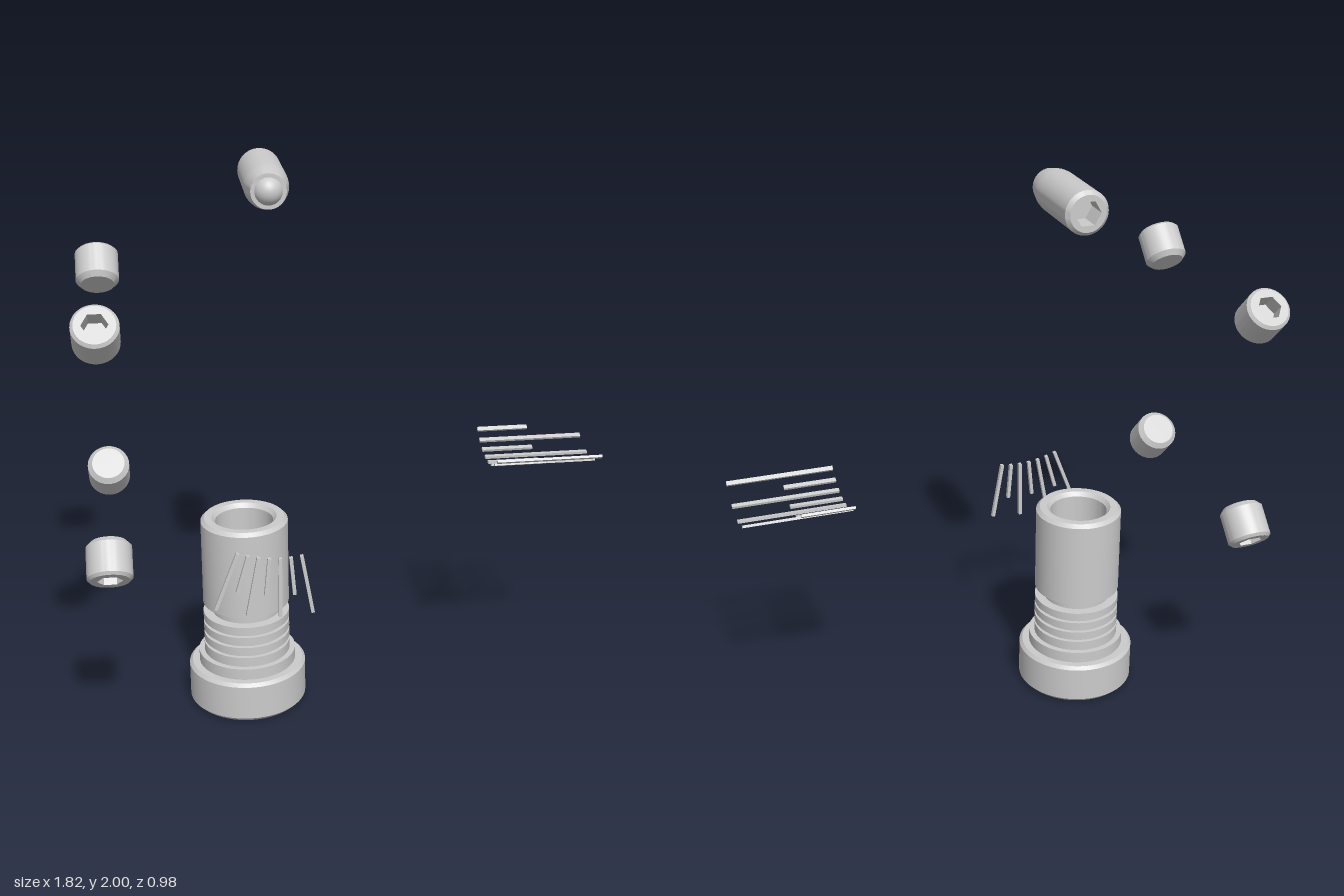
import * as THREE from 'three';
import { toCreasedNormals } from 'three/addons/utils/BufferGeometryUtils.js';

const grey = new THREE.MeshStandardMaterial({ color: 0xcccccc });

function mesh(name, geometry, parent) {
  const m = new THREE.Mesh(geometry, grey);
  m.name = name;
  parent.add(m);
  return m;
}

// Turned part: profile of [radius, y] pairs, counter-clockwise, crisp edges kept
function turned(profile, segments = 48) {
  const pts = profile.map(([r, y]) => new THREE.Vector2(r, y));
  return toCreasedNormals(new THREE.LatheGeometry(pts, segments), 0.4);
}

// Round plug with a hexagonal pocket, its face at local y = 0 pointing up
function hexSocket(name, radius, hexRadius, depth, parent) {
  const socket = new THREE.Group();
  socket.name = name;
  const shape = new THREE.Shape().absarc(0, 0, radius, 0, Math.PI * 2);
  const hex = [];
  for (let i = 0; i < 6; i++) {
    const a = -i * Math.PI / 3;
    hex.push(new THREE.Vector2(Math.cos(a) * hexRadius, Math.sin(a) * hexRadius));
  }
  shape.holes.push(new THREE.Path(hex));
  const ring = new THREE.ExtrudeGeometry(shape, { depth, bevelEnabled: false, curveSegments: 24 });
  ring.rotateX(-Math.PI / 2).translate(0, -depth, 0);
  mesh('hexPocket', ring, socket);
  const floor = new THREE.CircleGeometry(hexRadius, 6).rotateX(-Math.PI / 2).translate(0, -depth, 0);
  mesh('pocketFloor', floor, socket);
  parent.add(socket);
  return socket;
}

// Stepped, grooved sleeve with a wide foot and an open bore
function createSleeve() {
  const sleeve = new THREE.Group();
  sleeve.name = 'sleeve';
  const profile = [
    [0.105, 0.025], [0.118, 0], [0.198, 0], [0.214, 0.016], [0.214, 0.144], [0.203, 0.156],
    [0.177, 0.156], [0.177, 0.198], [0.157, 0.198], [0.157, 0.234],
  ];
  // three ring grooves
  for (let i = 0; i < 3; i++) {
    const y = 0.234 + i * 0.041;
    profile.push([0.143, y], [0.143, y + 0.012], [0.157, y + 0.012], [0.157, y + 0.041]);
  }
  profile.push(
    [0.123, 0.357], [0.123, 0.396], [0.157, 0.396], [0.157, 0.714], [0.144, 0.727],
    [0.117, 0.727], [0.104, 0.712], [0.104, 0.3], [0.055, 0.3], [0.055, 0.13], [0, 0.13],
  );
  mesh('sleeveBody', turned(profile, 64), sleeve);
  const socket = hexSocket('footSocket', 0.107, 0.052, 0.09, sleeve);
  socket.rotation.x = Math.PI;
  socket.position.y = 0.025;
  sleeve.position.x = -0.357;
  return sleeve;
}

// Short set screw, socket end up, centred on its length
function createSetScrew() {
  const screw = new THREE.Group();
  screw.name = 'setScrew';
  mesh('screwBody', turned([
    [0, -0.068], [0.06, -0.068], [0.077, -0.05], [0.077, 0.058], [0.067, 0.068], [0.066, 0.06],
  ]), screw);
  hexSocket('screwSocket', 0.067, 0.043, 0.06, screw).position.y = 0.068;
  return screw;
}

// Ball-nosed spring plunger lying along z, nose forward
function createPlunger() {
  const plunger = new THREE.Group();
  plunger.name = 'springPlunger';
  mesh('plungerBody', turned([
    [0.062, -0.24], [0.063, -0.25], [0.076, -0.237], [0.076, 0.015],
    [0.073, 0.045], [0.06, 0.1], [0.046, 0.1], [0.046, 0.07],
  ]), plunger);
  mesh('ball', new THREE.SphereGeometry(0.05, 32, 20), plunger).position.y = 0.082;
  const socket = hexSocket('plungerSocket', 0.063, 0.046, 0.08, plunger);
  socket.rotation.x = Math.PI;
  socket.position.y = -0.25;
  plunger.rotation.x = Math.PI / 2;
  plunger.position.set(-0.257, 1.925, 0);
  return plunger;
}

// Flat fan of alternating long and short graduation marks
function createFanScale() {
  const scale = new THREE.Group();
  scale.name = 'fanScale';
  for (let i = 0; i < 7; i++) {
    const length = i % 2 ? 0.14 : 0.22;
    const mark = new THREE.BoxGeometry(0.012, length, 0.015).translate(0, -0.41 - length / 2, 0);
    mesh('fanMark', mark, scale).rotation.z = THREE.MathUtils.degToRad(-21 + i * 5.12);
  }
  scale.position.set(-0.262, 1.148, 0.383);
  return scale;
}

// Graduation marks wrapped on the underside of a cylinder along x
function createCurvedScale() {
  const scale = new THREE.Group();
  scale.name = 'curvedScale';
  for (let i = 0; i < 8; i++) {
    const length = i % 2 ? 0.38 : 0.187;
    const mark = new THREE.BoxGeometry(length, 0.009, 0.016).translate(0.527 + length / 2, -0.254, 0);
    mesh('curvedMark', mark, scale).rotation.x = THREE.MathUtils.degToRad(39 - i * 11.15);
  }
  scale.position.y = 1.148;
  return scale;
}

export function createModel() {
  const model = new THREE.Group();
  model.name = 'explodedParts';
  model.add(createSleeve(), createPlunger(), createFanScale(), createCurvedScale());

  // four set screws, sockets facing outward on the diagonals
  for (const up of [1, -1]) {
    for (const front of [1, -1]) {
      const screw = createSetScrew();
      screw.position.set(-0.834, 1.162 + up * 0.393, front * 0.393);
      screw.rotation.x = front * (up > 0 ? Math.PI / 4 : Math.PI * 3 / 4);
      model.add(screw);
    }
  }
  return model;
}
